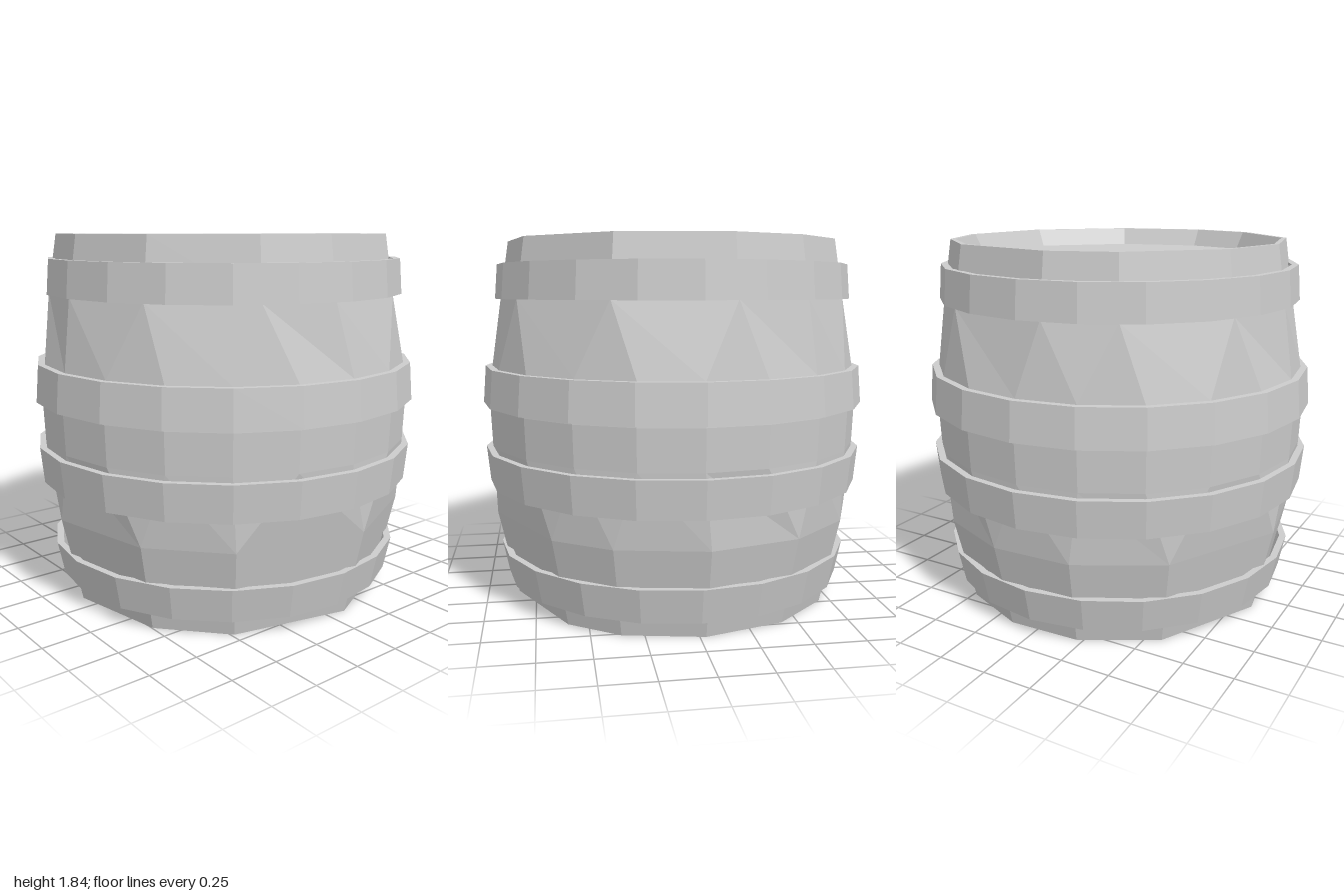
import * as THREE from 'three';

const SIDES = 20;
// Uneven corner angles (degrees) of the worn top and bottom ends
const TOP = [5, 28, 61, 91, 117, 151, 173, 210, 235, 260, 296, 333];
const BOTTOM = [-7, 35, 62, 97, 137, 165, 190, 215, 240, 268, 295, 315];

// Angle of corner i, pulled to the nearest listed corner if a list is given
function cornerAngle(i, corners) {
  const a = (i % SIDES) * (360 / SIDES);
  if (!corners) return a;
  const gap = (c) => Math.abs(((c - a + 540) % 360) - 180);
  return corners.reduce((best, c) => (gap(c) < gap(best) ? c : best));
}

// Skin a list of rings [radius, y, corners] into flat facets
function skinRings(rings) {
  const point = ([r, y, corners], i) => {
    const a = THREE.MathUtils.degToRad(cornerAngle(i, corners));
    return new THREE.Vector3(r * Math.cos(a), y, r * Math.sin(a));
  };
  const pos = [];
  const triangle = (a, b, c) => {
    const area = b.clone().sub(a).cross(c.clone().sub(a)).length();
    if (area > 1e-6) for (const p of [a, b, c]) pos.push(p.x, p.y, p.z);
  };
  for (let j = 0; j < rings.length - 1; j++) {
    for (let i = 0; i < SIDES; i++) {
      const a = point(rings[j], i), b = point(rings[j], i + 1);
      const d = point(rings[j + 1], i), c = point(rings[j + 1], i + 1);
      triangle(a, d, c);
      triangle(a, c, b);
    }
  }
  const geo = new THREE.BufferGeometry();
  geo.setAttribute('position', new THREE.Float32BufferAttribute(pos, 3));
  geo.computeVertexNormals();
  return geo;
}

// Thin conical band with straight facets
function hoopGeometry(y0, r0, y1, r1, thickness = 0.035) {
  const profile = [
    [r0, y0], [r1, y1], [r1 - thickness, y1], [r0 - thickness, y0], [r0, y0],
  ].map(([x, y]) => new THREE.Vector2(x, y));
  return new THREE.LatheGeometry(profile, SIDES);
}

export function createModel() {
  const group = new THREE.Group();
  const material = new THREE.MeshStandardMaterial({ color: 0xcccccc, flatShading: true });
  const add = (name, geometry) => {
    const mesh = new THREE.Mesh(geometry, material);
    mesh.name = name;
    group.add(mesh);
  };

  // Bulging body with a recessed head at each end
  add('barrelBody', skinRings([
    [0, 0.1, BOTTOM],
    [0.79, 0.1, BOTTOM],
    [0.82, 0, BOTTOM],
    [0.845, 0, BOTTOM],
    [0.945, 0.44, BOTTOM],
    [0.96, 0.8],
    [0.968, 1.0],
    [0.95, 1.2],
    [0.905, 1.55, TOP],
    [0.86, 1.84, TOP],
    [0.835, 1.84, TOP],
    [0.79, 1.75, TOP],
    [0, 1.75, TOP],
  ]));

  // Four hoops, each flaring toward the middle
  const hoops = [
    ['bottomHoop', 0.085, 0.89, 0.255, 0.925],
    ['lowerHoop', 0.59, 0.975, 0.775, 0.993],
    ['upperHoop', 1.01, 1.0, 1.2, 0.985],
    ['topHoop', 1.545, 0.927, 1.72, 0.913],
  ];
  for (const [name, ...size] of hoops) add(name, hoopGeometry(...size));

  return group;
}
